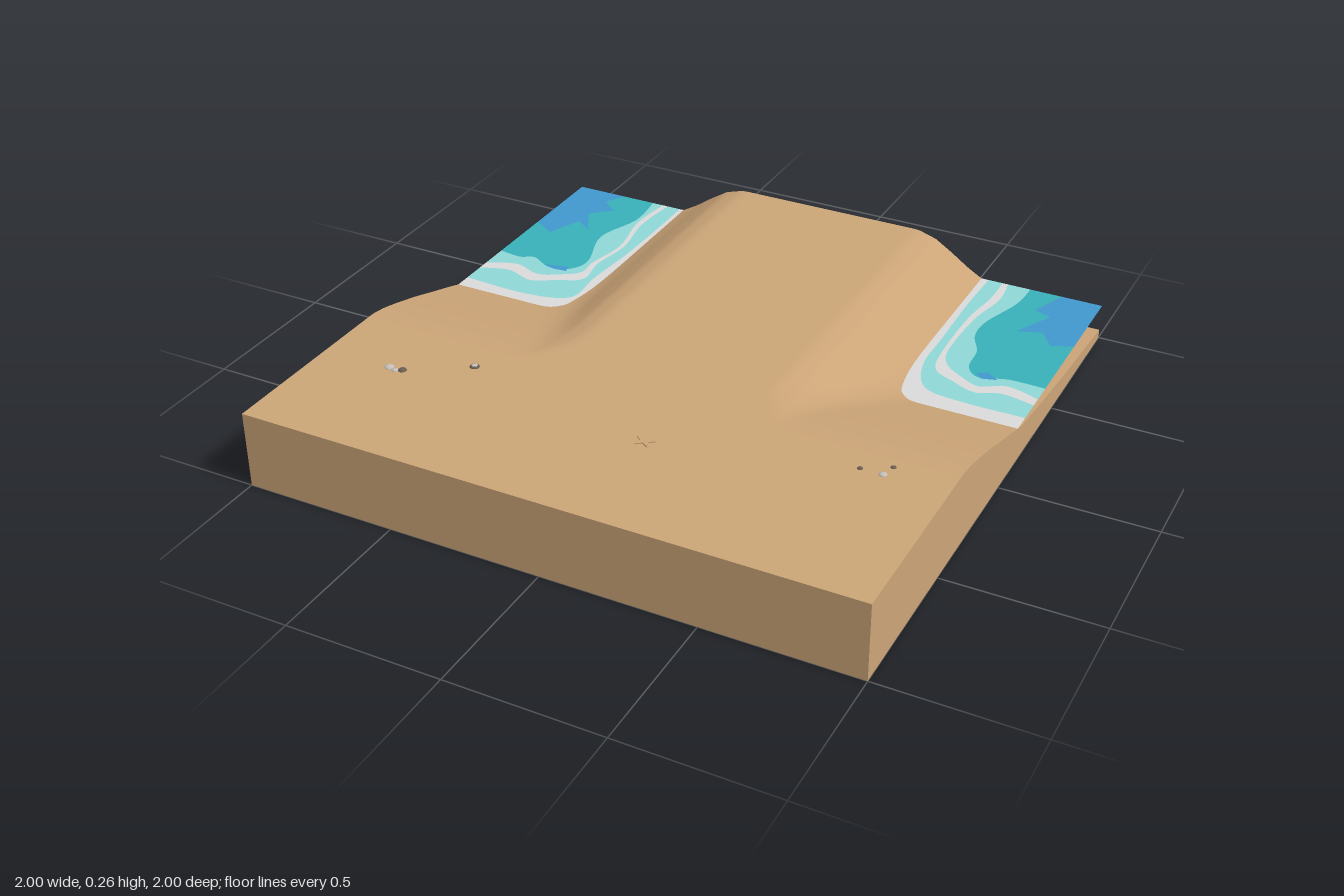
import * as THREE from 'three';

const mat = (name, color, side = THREE.FrontSide) => {
  const m = new THREE.MeshStandardMaterial({ color, side });
  m.name = name;
  return m;
};

const TOP = 0.253, WATER = 0.122;

// Drop below the plateau: [coordinate, drop]; across the flank (|x|) and down the beach (-z)
const FLANK = [[0.335, 0], [0.4, 0.02], [0.46, 0.058], [0.52, 0.1], [0.575, 0.132], [0.62, 0.152], [0.7, 0.19], [1, 0.28]];
const BEACH = [[-0.33, 0], [-0.27, 0.009], [-0.2, 0.026], [-0.1, 0.053], [0, 0.084], [0.1, 0.114], [0.155, 0.132], [0.2, 0.143], [0.4, 0.168], [0.6, 0.19], [1, 0.223]];

function sample(table, t) {
  if (t <= table[0][0]) return 0;
  for (let i = 1; i < table.length; i++) {
    const [a, va] = table[i - 1], [b, vb] = table[i];
    if (t <= b) return va + (vb - va) * (t - a) / (b - a);
  }
  return table[table.length - 1][1];
}

// Smooth minimum of the two drops rounds the corners of each bay
function height(x, z) {
  const a = sample(FLANK, Math.abs(x)), b = sample(BEACH, -z), k = 0.05;
  const h = Math.max(k - Math.abs(a - b), 0) / k;
  return TOP - Math.max(0, Math.min(a, b) - h * h * k / 4);
}

// Contours from the back edge round to the outer edge, as [x, z]; shore first, deep water last
const LEFT_BAY = [
  [[0.56, -1], [0.56, -0.6], [0.56, -0.14], [0.8, -0.14], [1, -0.14]],
  [[0.6, -1], [0.595, -0.8], [0.6, -0.56], [0.605, -0.38], [0.66, -0.25], [0.78, -0.22], [1, -0.22]],
  [[0.65, -1], [0.65, -0.88], [0.63, -0.72], [0.63, -0.5], [0.65, -0.37], [0.73, -0.32], [0.81, -0.29], [0.89, -0.32], [1, -0.3]],
  [[0.67, -1], [0.68, -0.88], [0.65, -0.72], [0.645, -0.5], [0.675, -0.41], [0.74, -0.36], [0.81, -0.33], [0.89, -0.37], [1, -0.34]],
  [[0.75, -1], [0.74, -0.88], [0.69, -0.72], [0.69, -0.62], [0.73, -0.53], [0.74, -0.43], [0.79, -0.38], [0.88, -0.41], [1, -0.41]],
  [[0.86, -1], [0.81, -0.87], [0.87, -0.85], [0.8, -0.71], [0.88, -0.74], [0.93, -0.67], [1, -0.7]],
];
const RIGHT_BAY = [
  [[-0.56, -1], [-0.56, -0.6], [-0.56, -0.14], [-0.8, -0.14], [-1, -0.14]],
  [[-0.59, -1], [-0.59, -0.8], [-0.595, -0.6], [-0.61, -0.4], [-0.605, -0.27], [-0.66, -0.22], [-0.8, -0.2], [-1, -0.21]],
  [[-0.64, -1], [-0.655, -0.83], [-0.63, -0.65], [-0.65, -0.5], [-0.64, -0.38], [-0.72, -0.33], [-0.8, -0.29], [-0.9, -0.32], [-1, -0.29]],
  [[-0.66, -1], [-0.675, -0.83], [-0.645, -0.65], [-0.67, -0.5], [-0.67, -0.42], [-0.73, -0.37], [-0.8, -0.34], [-0.9, -0.37], [-1, -0.33]],
  [[-0.7, -1], [-0.69, -0.85], [-0.74, -0.68], [-0.69, -0.5], [-0.72, -0.42], [-0.79, -0.4], [-0.87, -0.44], [-0.92, -0.42], [-1, -0.43]],
  [[-0.82, -1], [-0.86, -0.93], [-0.8, -0.88], [-0.87, -0.82], [-0.81, -0.71], [-0.87, -0.75], [-0.92, -0.63], [-1, -0.68]],
];

// Flat horizontal face from [x, z] outline points
function flatFace(points, y) {
  const g = new THREE.ShapeGeometry(new THREE.Shape(points.map(p => new THREE.Vector2(p.x, -p.y))));
  return g.rotateX(-Math.PI / 2).translate(0, y, 0);
}

const vectors = list => list.map(([x, z]) => new THREE.Vector2(x, z));

function buildBay(name, contours, patch, m) {
  const bay = new THREE.Group();
  bay.name = name;
  const bands = [['shoreFoam', m.foam], ['shallowWater', m.shallow], ['foamStreak', m.foam],
    ['innerShallowWater', m.shallow], ['midWater', m.mid], ['deepWater', m.deep]];
  // The shore and the jagged deep edge stay straight; the others are smooth waves
  const lines = contours.map((c, i) => i === 0 || i === 5 ? vectors(c) : new THREE.SplineCurve(vectors(c)).getPoints(48));
  bands.forEach(([part, material], i) => {
    const side = Math.sign(contours[0][0][0]);
    const inner = i < 5 ? [...lines[i + 1]].reverse() : [new THREE.Vector2(side, -1)];
    const mesh = new THREE.Mesh(flatFace([...lines[i], ...inner], WATER), material);
    mesh.name = part;
    bay.add(mesh);
  });
  const spot = new THREE.Mesh(flatFace(vectors(patch), WATER + 0.001), m.deep);
  spot.name = 'deepWaterPatch';
  bay.add(spot);
  return bay;
}

export function createModel() {
  const root = new THREE.Group();
  root.name = 'beachTile';
  const sand = mat('sand', 0xcba477);
  const m = {
    foam: mat('foam', 0xdadada, THREE.DoubleSide),
    shallow: mat('shallow water', 0x8ed6d6, THREE.DoubleSide),
    mid: mat('mid water', 0x38afb9, THREE.DoubleSide),
    deep: mat('deep water', 0x4197cd, THREE.DoubleSide),
  };
  const paleStone = mat('pale stone', 0xc4c0b8);
  const darkStone = mat('dark stone', 0x6b5d50);

  // Sand block with its top shaped by the height rule
  const g = new THREE.BoxGeometry(2, 1, 2, 100, 1, 100);
  const p = g.attributes.position;
  for (let i = 0; i < p.count; i++) p.setY(i, p.getY(i) > 0 ? height(p.getX(i), p.getZ(i)) : 0);
  g.computeVertexNormals();
  const ground = new THREE.Mesh(g, sand);
  ground.name = 'sandGround';
  root.add(ground);

  // Water in the two back corners
  root.add(buildBay('leftBay', LEFT_BAY, [[0.775, -0.4], [0.81, -0.42], [0.85, -0.39], [0.8, -0.375]], m));
  root.add(buildBay('rightBay', RIGHT_BAY, [[-0.81, -0.41], [-0.73, -0.43], [-0.72, -0.4], [-0.77, -0.395]], m));

  // Pebbles: x, z, radius, material
  const pebbles = [
    [-0.535, 0.463, 0.016, darkStone], [-0.535, 0.463, 0.012, paleStone],
    [-0.765, 0.583, 0.016, paleStone], [-0.74, 0.59, 0.011, paleStone], [-0.72, 0.58, 0.014, darkStone],
    [0.73, 0.442, 0.009, darkStone], [0.8, 0.442, 0.013, paleStone], [0.812, 0.395, 0.009, darkStone],
  ];
  pebbles.forEach(([x, z, r, material], i) => {
    const pebble = new THREE.Mesh(new THREE.IcosahedronGeometry(r, 1), material);
    pebble.name = 'pebble';
    pebble.scale.y = 0.5;
    pebble.position.set(x, TOP + (i === 1 ? 0.003 : 0), z);
    root.add(pebble);
  });

  // Small sand-coloured star lying on the plateau
  const star = new THREE.Shape();
  for (let i = 0; i < 10; i++) {
    const a = Math.PI / 2 + i * Math.PI / 5, r = i % 2 ? 0.014 : 0.034;
    star[i ? 'lineTo' : 'moveTo'](r * Math.cos(a), r * Math.sin(a));
  }
  const starGeometry = new THREE.ExtrudeGeometry(star, { depth: 0.004, bevelEnabled: false }).rotateX(-Math.PI / 2);
  const starfish = new THREE.Mesh(starGeometry, sand);
  starfish.name = 'starfish';
  starfish.position.set(0.125, TOP, 0.594);
  root.add(starfish);
  return root;
}
